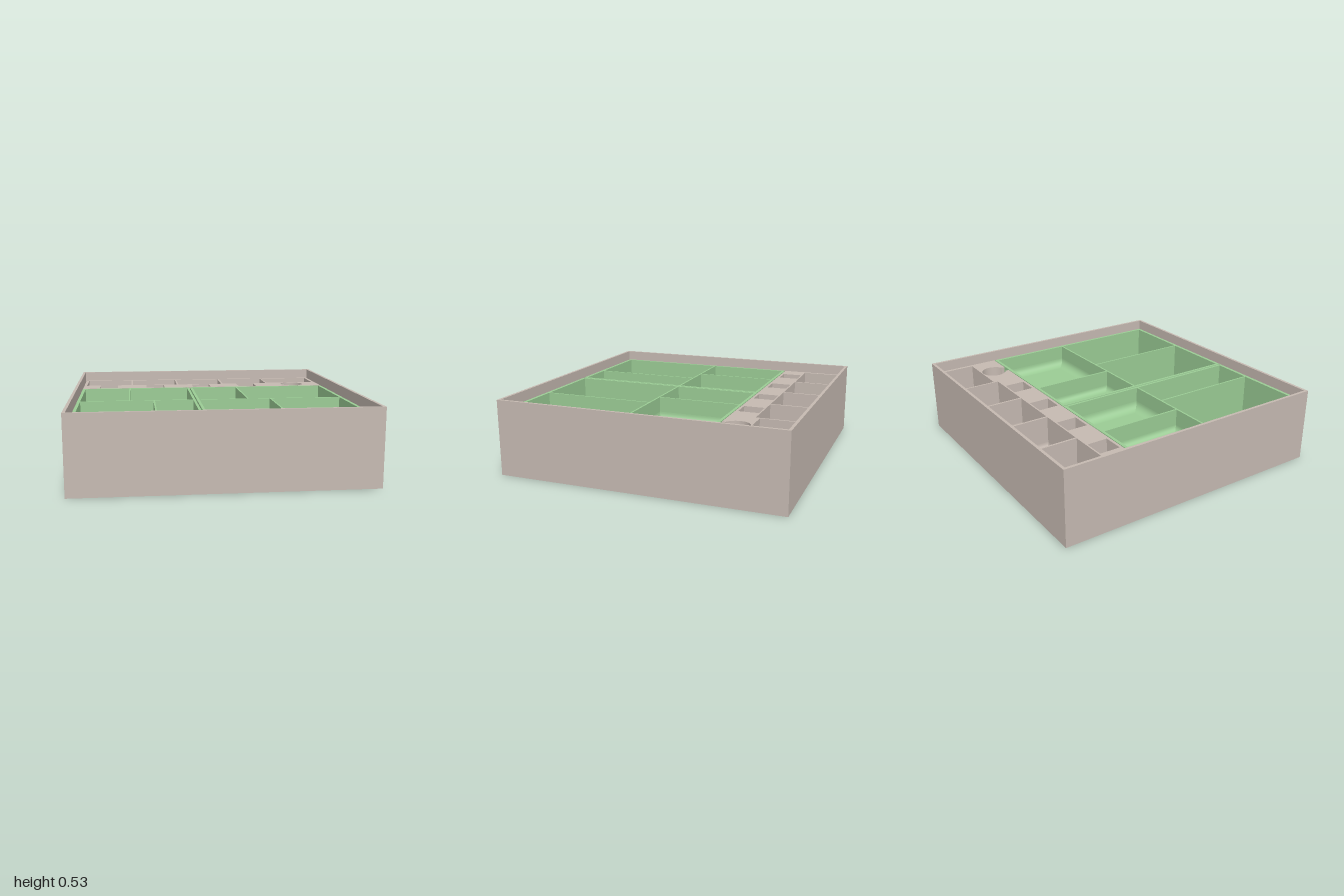
import * as THREE from 'three';

const tan = new THREE.MeshStandardMaterial({ color: 0xc5b9b1 });
tan.name = 'warm grey';
const green = new THREE.MeshStandardMaterial({ color: 0x9acb94 });
green.name = 'soft green';

const RIM = 0.457, BASE = 0.02;

function mesh(name, geometry, material) {
  const m = new THREE.Mesh(geometry, material);
  m.name = name;
  return m;
}

// Plan shapes use (x, -z) so that they lie flat after a quarter turn
function rect(x0, x1, z0, z1, Type = THREE.Path) {
  return new Type([[x0, -z0], [x0, -z1], [x1, -z1], [x1, -z0]].map(p => new THREE.Vector2(...p)));
}

function upright(shape, y0, y1) {
  return new THREE.ExtrudeGeometry(shape, { depth: y1 - y0, bevelEnabled: false, curveSegments: 32 })
    .rotateX(-Math.PI / 2).translate(0, y0, 0);
}

function flat(shape, y) {
  return new THREE.ShapeGeometry(shape, 32).rotateX(-Math.PI / 2).translate(0, y, 0);
}

// Scooped compartment bottom: four mitred quarter-round sides and a flat floor
function scoop([x0, x1, z0, z1, floor, r]) {
  const pos = [], index = [], steps = 10;
  const ring = k => {
    const a = k / steps * Math.PI / 2, d = r * (1 - Math.cos(a)), y = floor + r * (1 - Math.sin(a));
    return [[x0 + d, y, z0 + d], [x0 + d, y, z1 - d], [x1 - d, y, z1 - d], [x1 - d, y, z0 + d]];
  };
  for (let side = 0; side < 4; side++) {
    const start = pos.length / 3;
    for (let k = 0; k <= steps; k++) {
      const p = ring(k);
      pos.push(...p[side], ...p[(side + 1) % 4]);
      if (k < steps) {
        const o = start + 2 * k;
        index.push(o, o + 1, o + 3, o, o + 3, o + 2);
      }
    }
  }
  const f = pos.length / 3;
  pos.push(...ring(steps).flat());
  index.push(f, f + 1, f + 2, f, f + 2, f + 3);
  const g = new THREE.BufferGeometry();
  g.setAttribute('position', new THREE.Float32BufferAttribute(pos, 3));
  g.setIndex(index);
  g.computeVertexNormals();
  return g;
}

// Tray body with compartments [x0, x1, z0, z1, floor, radius]
function tray(name, shape, cells, material) {
  const group = new THREE.Group();
  group.name = name;
  cells.forEach(c => {
    shape.holes.push(rect(...c.slice(0, 4)));
    group.add(mesh('compartmentFloor', scoop(c), material));
  });
  group.add(mesh('trayBody', upright(shape, BASE, RIM), material));
  return group;
}

export function createModel() {
  const model = new THREE.Group();
  model.name = 'organizerBox';

  // Outer box
  const walls = rect(-1, 1, -1, 1, THREE.Shape);
  walls.holes.push(rect(-0.98, 0.98, -0.98, 0.98));
  model.add(mesh('boxWalls', upright(walls, 0, 0.53), tan));
  model.add(mesh('boxBottom', upright(rect(-0.98, 0.98, -0.98, 0.98, THREE.Shape), 0, 0.015), tan));

  // Green trays: shallow compartments behind, deep ones in front
  model.add(tray('rightTray', rect(-0.974, -0.122, -0.482, 0.974, THREE.Shape), [
    [-0.952, -0.605, -0.462, 0.134, 0.3, 0.04],
    [-0.593, -0.14, -0.462, 0.134, 0.29, 0.06],
    [-0.952, -0.43, 0.147, 0.951, 0.04, 0.1],
    [-0.418, -0.14, 0.147, 0.951, 0.04, 0.1],
  ], green));
  model.add(tray('leftTray', rect(-0.114, 0.974, -0.482, 0.974, THREE.Shape), [
    [-0.094, 0.258, -0.462, 0.134, 0.3, 0.04],
    [0.27, 0.951, -0.462, 0.134, 0.29, 0.06],
    [-0.094, 0.425, 0.147, 0.951, 0.04, 0.1],
    [0.437, 0.951, 0.147, 0.951, 0.04, 0.13],
  ], green));

  // Rear tray outline, with a round pocket open to the front through a notch
  const cx = 0.753, cy = 0.595, r = 0.09, n = 0.037, a = Math.asin(n / r), down = -Math.PI / 2;
  const front = 0.488, outer = 0.974;
  const outline = new THREE.Shape();
  outline.moveTo(-outer, outer);
  outline.lineTo(-outer, front);
  outline.lineTo(cx - n, front);
  outline.absarc(cx, cy, r, down - a, down + a, true);
  outline.lineTo(cx + n, front);
  outline.lineTo(outer, front);
  outline.lineTo(outer, outer);
  outline.closePath();

  // Five bins and four square pockets
  const bins = [];
  const pockets = [];
  for (let i = 0; i < 4; i++) {
    const x = i * 0.378;
    bins.push([x - 0.952, x - 0.588, -0.952, -0.662, 0.22, 0.05]);
    pockets.push(rect(x - 0.842, x - 0.698, -0.651, -0.507, THREE.Shape));
  }
  bins.push([0.558, 0.951, -0.952, -0.692, 0.22, 0.05]);
  outline.holes.push(...pockets);
  const rear = tray('rearTray', outline, bins, tan);
  pockets.forEach(p => rear.add(mesh('squarePocketFloor', flat(p, 0.3), tan)));

  // Round pocket floor and the raised step in its notch
  const disc = new THREE.Shape().absarc(cx, cy, r, 0, Math.PI * 2, false);
  rear.add(mesh('roundPocketFloor', flat(disc, 0.3), tan));
  const step = new THREE.Shape();
  step.moveTo(cx - n, front);
  step.lineTo(cx + n, front);
  step.absarc(cx, cy, r, down + a, down - a, true);
  step.closePath();
  rear.add(mesh('notchStep', upright(step, BASE, 0.35), tan));
  model.add(rear);

  return model;
}
